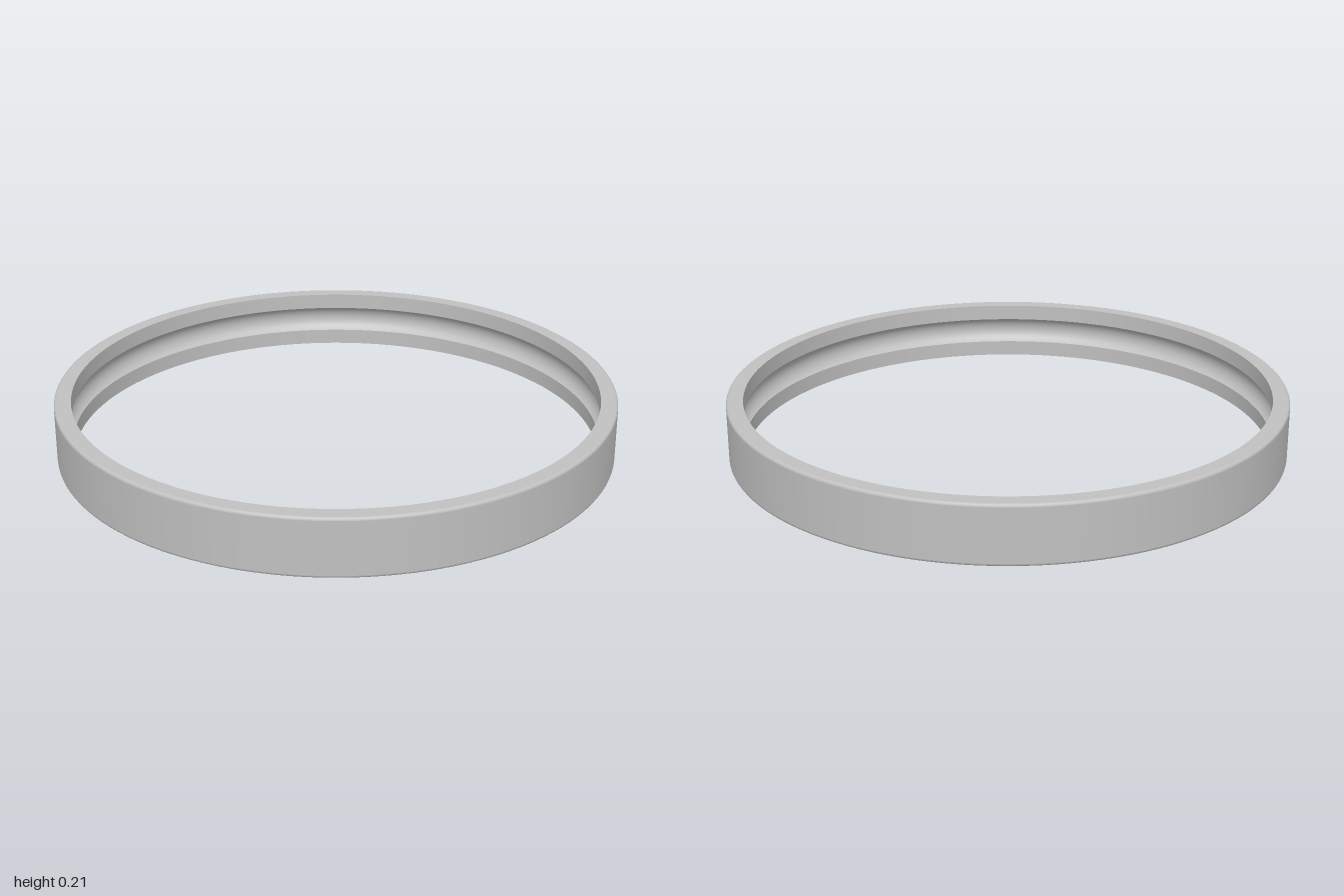
import * as THREE from 'three';
import { mergeGeometries } from 'three/addons/utils/BufferGeometryUtils.js';

const OUTER = 1, INNER = 0.94, HEIGHT = 0.212, FILLET = 0.01;
const GROOVE_HALF = 0.048, GROOVE_DEPTH = 0.026;
const SEGMENTS = 128;

// Points on a circular arc in the (radius, height) section
function arc(cx, cy, r, from, to, steps) {
  return Array.from({ length: steps + 1 }, (_, i) => {
    const a = from + (to - from) * i / steps;
    return new THREE.Vector2(cx + r * Math.cos(a), cy + r * Math.sin(a));
  });
}

const line = (r0, y0, r1, y1) => [new THREE.Vector2(r0, y0), new THREE.Vector2(r1, y1)];

export function createModel() {
  const group = new THREE.Group();
  group.name = 'bearingOuterRing';
  const steel = new THREE.MeshStandardMaterial({ color: 0xc0c0c0 });
  steel.name = 'steel grey';

  // Each band is smooth in itself; edges between bands stay sharp
  const addPart = (name, bands) => {
    const geometry = mergeGeometries(bands.map(p => new THREE.LatheGeometry(p, SEGMENTS)));
    const mesh = new THREE.Mesh(geometry, steel);
    mesh.name = name;
    group.add(mesh);
  };

  const edge = OUTER - FILLET, top = HEIGHT - FILLET, mid = HEIGHT / 2;

  // Outer wall with small rounded edges
  addPart('outerWall', [
    arc(edge, FILLET, FILLET, -Math.PI / 2, 0, 4),
    line(OUTER, FILLET, OUTER, top),
    arc(edge, top, FILLET, 0, Math.PI / 2, 4),
  ]);

  // Flat rims
  addPart('topRim', [line(edge, HEIGHT, INNER, HEIGHT)]);
  addPart('bottomRim', [line(INNER, 0, edge, 0)]);

  // Straight shoulders above and below the groove
  addPart('innerShoulders', [
    line(INNER, HEIGHT, INNER, mid + GROOVE_HALF),
    line(INNER, mid - GROOVE_HALF, INNER, 0),
  ]);

  // Ball groove, a shallow circular arc cut into the inner wall
  const radius = (GROOVE_HALF ** 2 + GROOVE_DEPTH ** 2) / (2 * GROOVE_DEPTH);
  const angle = Math.asin(GROOVE_HALF / radius);
  addPart('ballGroove', [
    arc(INNER + GROOVE_DEPTH - radius, mid, radius, angle, -angle, 16),
  ]);

  return group;
}
